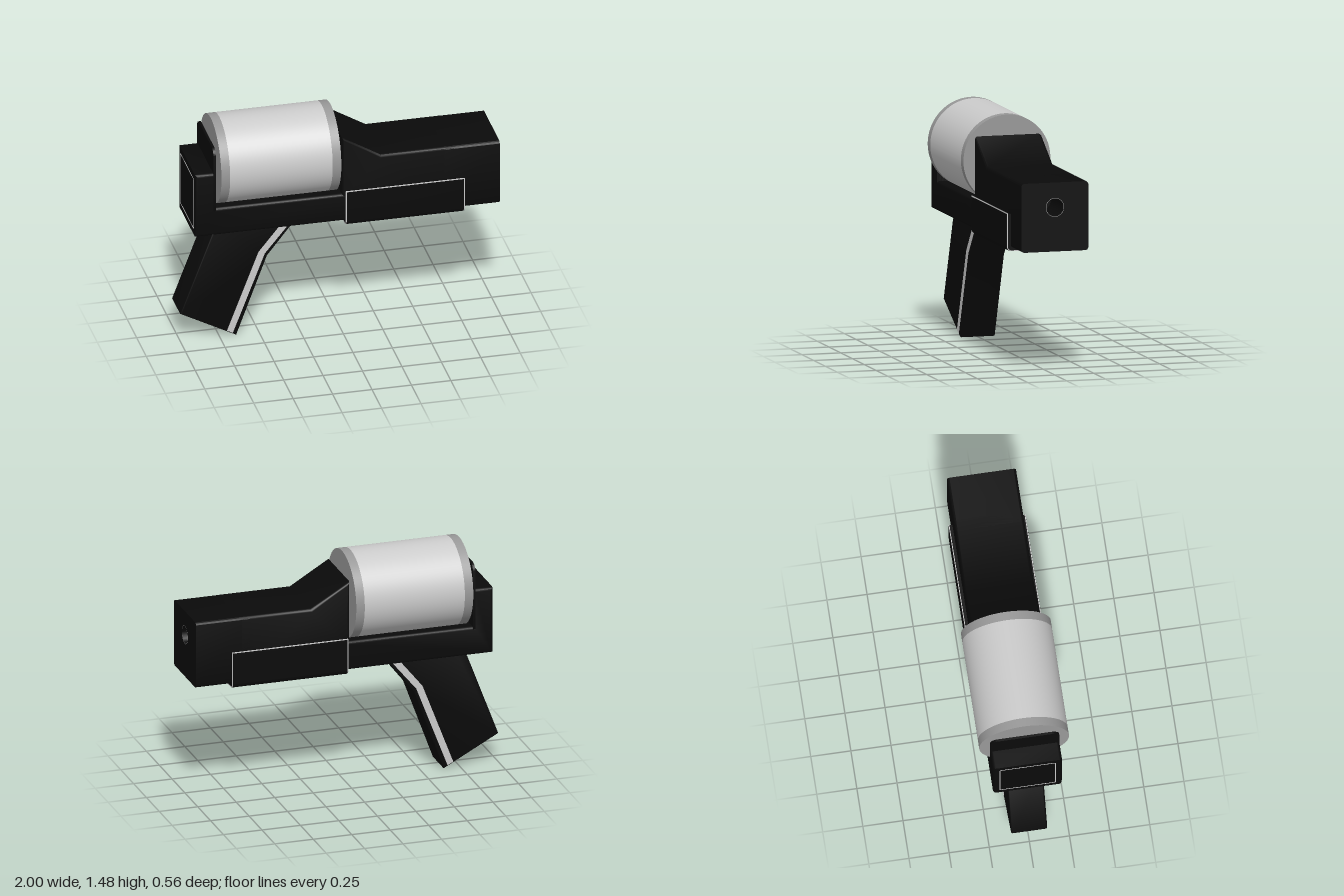
import * as THREE from 'three';
import { toCreasedNormals } from 'three/addons/utils/BufferGeometryUtils.js';

const BLACK = new THREE.MeshStandardMaterial({ color: 0x0a0a0a });
const LIGHT = new THREE.MeshStandardMaterial({ color: 0xcccccc });
const MID = new THREE.MeshStandardMaterial({ color: 0x999999 });

const polygon = (points) => new THREE.Shape(points.map(([x, y]) => new THREE.Vector2(x, y)));

// Rounded rectangle centred on the first axis, from y0 to y1 on the second.
function roundedRect(halfWidth, y0, y1, r) {
  const s = new THREE.Shape();
  s.absarc(halfWidth - r, y0 + r, r, -Math.PI / 2, 0);
  s.absarc(halfWidth - r, y1 - r, r, 0, Math.PI / 2);
  s.absarc(-halfWidth + r, y1 - r, r, Math.PI / 2, Math.PI);
  s.absarc(-halfWidth + r, y0 + r, r, Math.PI, Math.PI * 1.5);
  s.closePath();
  return s;
}

// Side profile in x and y, extruded to +-halfDepth in z with softened edges.
function sideExtrude(shape, halfDepth, bevel) {
  const g = new THREE.ExtrudeGeometry(shape, {
    depth: 2 * (halfDepth - bevel), bevelEnabled: bevel > 0, bevelThickness: bevel,
    bevelSize: bevel, bevelOffset: -bevel, bevelSegments: 3, curveSegments: 8,
  });
  g.translate(0, 0, -(halfDepth - bevel));
  return toCreasedNormals(g, 0.6);
}

// Cross-section in z and y, extruded along x from x0 to x1.
function lengthExtrude(shape, x0, x1) {
  const g = new THREE.ExtrudeGeometry(shape, { depth: x1 - x0, bevelEnabled: false, curveSegments: 8 });
  g.rotateY(Math.PI / 2).translate(x0, 0, 0);
  return toCreasedNormals(g, 0.6);
}

// U-shaped section open at the top, wrapping the underside of the body.
function channel(outer, bottom, top, wall) {
  const r = 0.03, q = r - wall, i = outer - wall;
  const s = new THREE.Shape();
  s.moveTo(-outer, top);
  s.lineTo(-outer, bottom + r);
  s.absarc(-outer + r, bottom + r, r, Math.PI, Math.PI * 1.5);
  s.absarc(outer - r, bottom + r, r, -Math.PI / 2, 0);
  s.lineTo(outer, top);
  s.lineTo(i, top);
  s.absarc(i - q, bottom + r, q, 0, -Math.PI / 2, true);
  s.absarc(-i + q, bottom + r, q, -Math.PI / 2, -Math.PI, true);
  s.lineTo(-i, top);
  s.closePath();
  return s;
}

export function createModel() {
  const model = new THREE.Group();
  const add = (name, geometry, material) => {
    const mesh = new THREE.Mesh(geometry, material);
    mesh.name = name;
    model.add(mesh);
    return mesh;
  };

  // Body with the notch for the drum and the sloped hump ahead of it
  add('body', sideExtrude(polygon([
    [-0.93, 0.775], [0.72, 0.775], [0.72, 1.205], [0.25, 1.205], [0, 1.355],
    [0, 0.96], [-0.8, 0.96], [-0.8, 1.205], [-0.93, 1.205],
  ]), 0.215, 0.018), BLACK);

  // Barrel block with an open bore
  const section = roundedRect(0.215, 0.775, 1.205, 0.02);
  const bore = new THREE.Path();
  bore.absarc(0, 1.05, 0.058, 0, Math.PI * 2, true);
  section.holes.push(bore);
  add('barrel', lengthExtrude(section, 0.65, 1), BLACK);
  const rim = add('boreRim', new THREE.RingGeometry(0.056, 0.059, 40), MID);
  rim.rotation.y = Math.PI / 2;
  rim.position.set(1.0005, 1.05, 0);

  // Upright plate behind the drum
  add('rearPlate', lengthExtrude(roundedRect(0.215, 0.9, 1.37, 0.05), -0.815, -0.8), BLACK);

  // Thin frame line on the rear face
  const frame = roundedRect(0.175, 0.815, 1.165, 0.01);
  frame.holes.push(roundedRect(0.17, 0.82, 1.16, 0.008));
  add('rearFrame', lengthExtrude(frame, -0.932, -0.92), LIGHT);

  // Drum: light barrel with a darker band at each end
  const drumPart = (name, x0, x1, material) => {
    const g = new THREE.CylinderGeometry(0.28, 0.28, x1 - x0, 64);
    g.rotateZ(Math.PI / 2).translate((x0 + x1) / 2, 1.2, 0);
    add(name, g, material);
  };
  drumPart('drum', -0.725, -0.075, LIGHT);
  drumPart('drumRearBand', -0.78, -0.725, MID);
  drumPart('drumFrontBand', -0.075, -0.02, MID);

  // Pair of rails on the floor of the notch
  for (const z of [-0.085, 0.085]) {
    add('floorRail', new THREE.BoxGeometry(0.8, 0.01, 0.055).translate(-0.4, 0.957, z), LIGHT);
  }

  // Fore grip cover: black channel with a thin light border
  add('coverCore', lengthExtrude(channel(0.235, 0.757, 0.985, 0.025), 0.019, 0.771), BLACK);
  add('coverBorder', lengthExtrude(channel(0.239, 0.753, 0.99, 0.005), 0.018, 0.772), LIGHT);
  add('coverSkin', lengthExtrude(channel(0.24, 0.752, 0.984, 0.004), 0.024, 0.766), BLACK);

  // Raked grip
  add('grip', sideExtrude(polygon([
    [-1, 0.195], [-0.645, 0.005], [-0.45, 0.535], [-0.25, 0.79], [-0.72, 0.79], [-0.8, 0.725],
  ]), 0.113, 0.01), BLACK);

  // Light stripe down both sides of the grip
  add('gripStripe', sideExtrude(polygon([
    [-0.705, 0.045], [-0.668, 0.025], [-0.465, 0.555], [-0.28, 0.78], [-0.335, 0.78], [-0.505, 0.57],
  ]), 0.1145, 0), LIGHT);

  return model;
}
